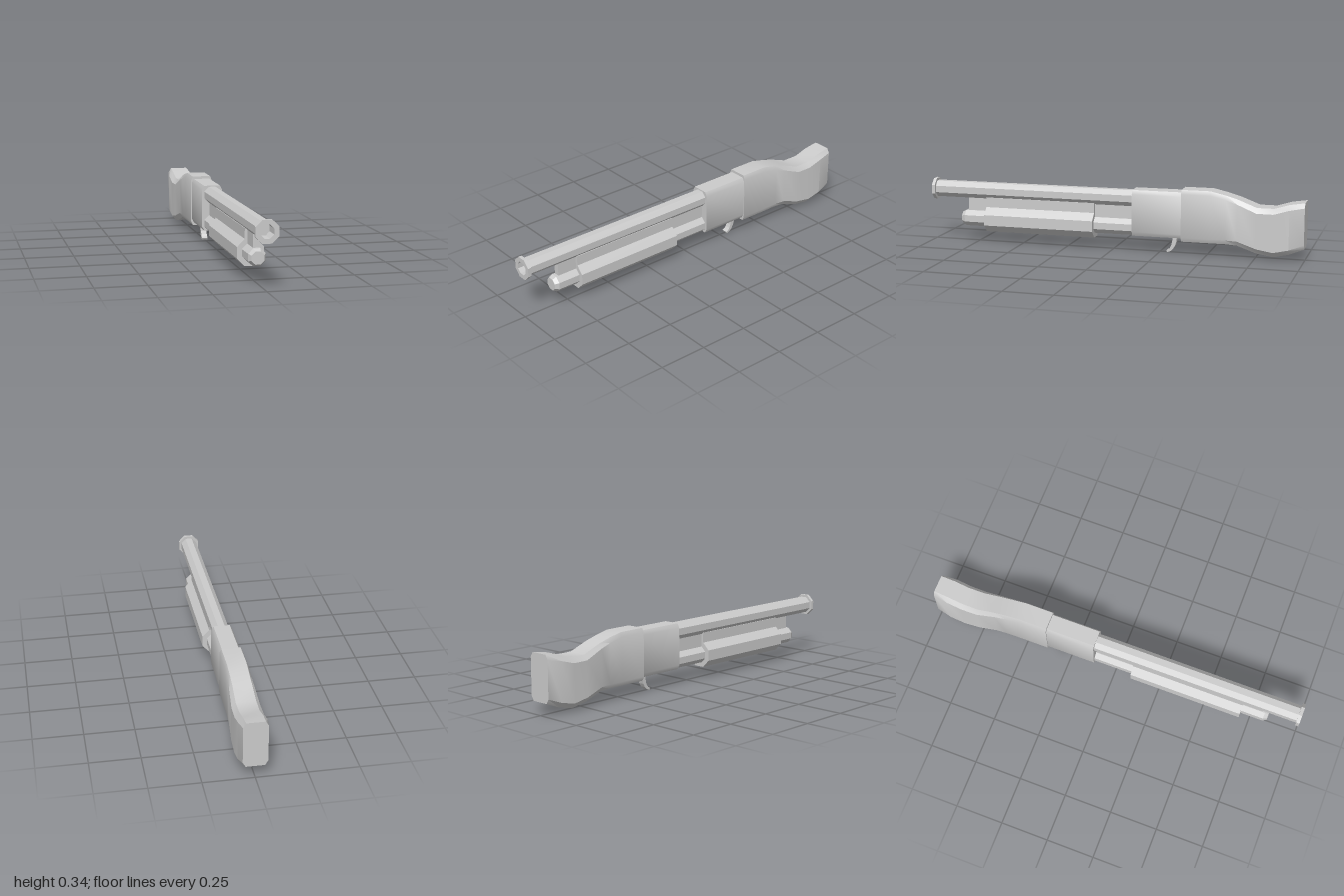
import * as THREE from 'three';
import { toCreasedNormals } from 'three/addons/utils/BufferGeometryUtils.js';

const flat = new THREE.MeshStandardMaterial({ color: 0xcccccc, flatShading: true });
const creased = new THREE.MeshStandardMaterial({ color: 0xcccccc });

// Octagonal tube along z; profile holds [half width across flats, z]
function octTube(profile, y) {
  const k = 1 / Math.cos(Math.PI / 8);
  const g = new THREE.LatheGeometry(profile.map(([r, z]) => new THREE.Vector2(r * k, z)), 8);
  g.rotateY(Math.PI / 8);
  g.rotateX(Math.PI / 2);
  g.translate(0, y, 0);
  return g;
}

// Loft of chamfered rectangles, front to back: [z, bottom, top, half width, chamfer x, chamfer y]
function chamferedLoft(sections) {
  const pos = [];
  const idx = [];
  sections.forEach(([z, b, t, w, cx, cy]) => {
    const ring = [
      [w - cx, b], [w, b + cy], [w, t - cy], [w - cx, t],
      [cx - w, t], [-w, t - cy], [-w, b + cy], [cx - w, b],
    ];
    ring.forEach(([x, y]) => pos.push(x, y, z));
  });
  const last = (sections.length - 1) * 8;
  for (let j = 0; j < last; j += 8) {
    for (let i = 0; i < 8; i++) {
      const n = (i + 1) % 8;
      idx.push(j + i, j + 8 + i, j + n, j + 8 + i, j + 8 + n, j + n);
    }
  }
  for (let i = 1; i < 7; i++) {
    idx.push(0, i, i + 1, last, last + i + 1, last + i);
  }
  const g = new THREE.BufferGeometry();
  g.setAttribute('position', new THREE.Float32BufferAttribute(pos, 3));
  g.setIndex(idx);
  return toCreasedNormals(g, 0.55);
}

export function createModel() {
  const model = new THREE.Group();
  model.name = 'pumpShotgun';
  const add = (name, geometry, material = flat) => {
    const mesh = new THREE.Mesh(geometry, material);
    mesh.name = name;
    model.add(mesh);
  };

  // Barrel with muzzle collar and recessed bore
  add('barrel', octTube([
    [0, -0.12], [0.042, -0.12], [0.042, 0.983], [0.055, 0.983],
    [0.055, 1], [0.032, 1], [0.032, 0.92], [0, 0.92],
  ], 0.275));

  // Magazine tube with tapered tip
  add('magazineTube', octTube([
    [0, -0.12], [0.042, -0.12], [0.042, 0.82], [0.031, 0.84], [0, 0.84],
  ], 0.123));

  // Thin rib joining barrel and magazine tube
  const rib = new THREE.BoxGeometry(0.03, 0.09, 0.92);
  rib.translate(0, 0.2, 0.345);
  add('rib', rib);

  // Sliding fore-end: octagon with an upright neck
  const half = [[0.028, 0.057], [0.065, 0.095], [0.065, 0.151], [0.028, 0.188], [0.028, 0.24]];
  const outline = [...half, ...half.map(([x, y]) => [-x, y]).reverse()];
  const foreEnd = new THREE.ExtrudeGeometry(
    new THREE.Shape(outline.map(([x, y]) => new THREE.Vector2(x, y))),
    { depth: 0.6, bevelEnabled: false });
  foreEnd.translate(0, 0, 0.1);
  add('foreEnd', foreEnd);

  // Receiver
  add('receiver', chamferedLoft([
    [-0.11, 0.083, 0.323, 0.054, 0.012, 0.022],
    [-0.38, 0.083, 0.323, 0.054, 0.012, 0.022],
  ]), creased);

  // Stock with a dipped wrist and flared butt
  add('stock', chamferedLoft([
    [-0.37, 0.068, 0.337, 0.058, 0.01, 0.022],
    [-0.52, 0.068, 0.337, 0.058, 0.01, 0.022],
    [-0.60, 0.068, 0.319, 0.059, 0.012, 0.022],
    [-0.66, 0.064, 0.302, 0.062, 0.015, 0.024],
    [-0.76, 0.030, 0.264, 0.069, 0.02, 0.026],
    [-0.845, 0.016, 0.264, 0.07, 0.022, 0.026],
    [-0.925, 0.034, 0.288, 0.07, 0.022, 0.026],
    [-1, 0.064, 0.300, 0.06, 0.014, 0.024],
  ]), creased);

  // Curved trigger, drawn in z and y
  const hook = new THREE.Shape();
  hook.moveTo(-0.318, 0.09);
  hook.quadraticCurveTo(-0.318, 0.02, -0.285, 0.01);
  hook.lineTo(-0.29, 0);
  hook.quadraticCurveTo(-0.338, 0.012, -0.342, 0.09);
  const trigger = new THREE.ExtrudeGeometry(hook, { depth: 0.03, bevelEnabled: false, curveSegments: 5 });
  trigger.rotateY(-Math.PI / 2);
  trigger.translate(0.015, 0, 0);
  add('trigger', trigger);

  return model;
}
